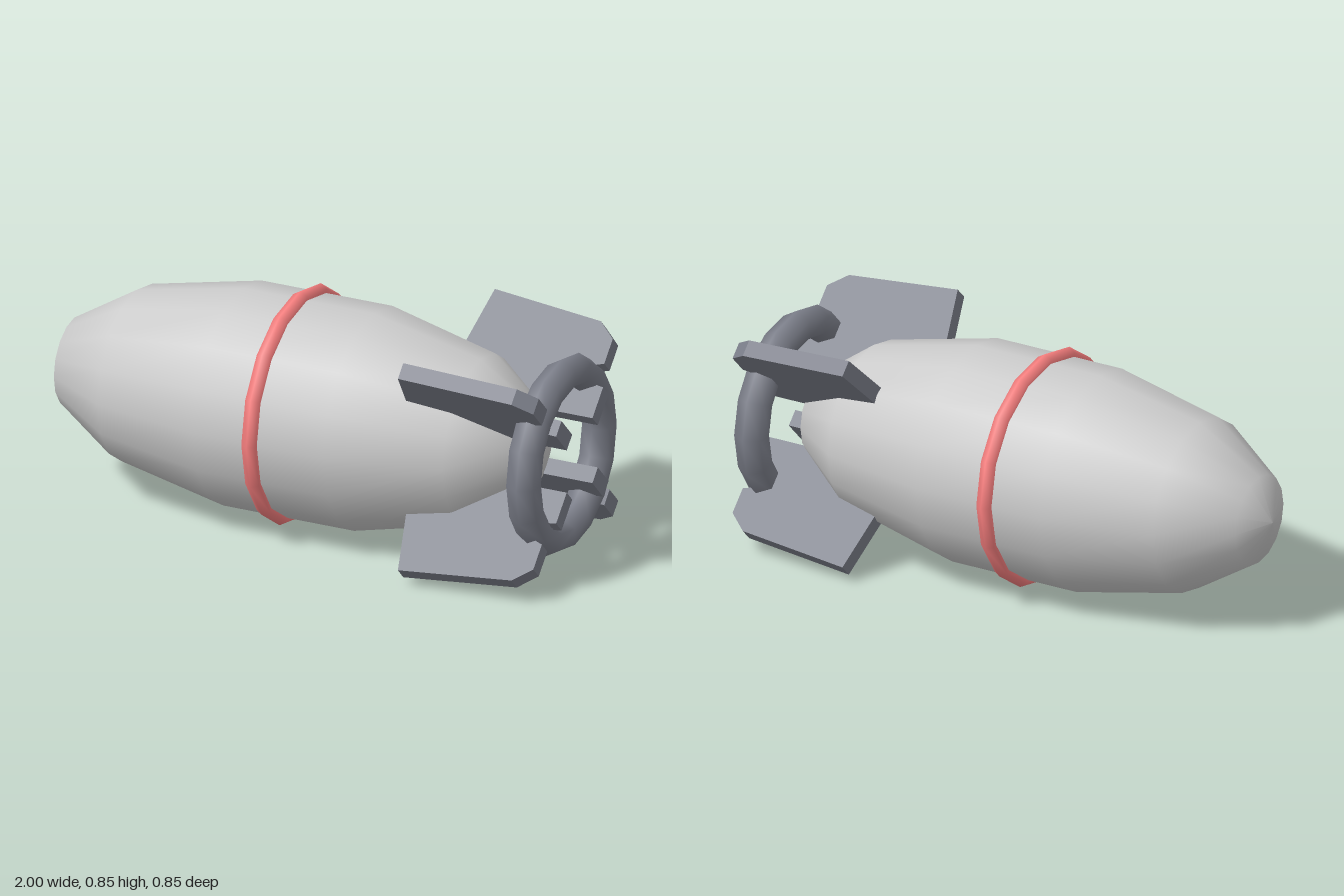
import * as THREE from 'three';

const AXIS_Y = 0.423;
const SIDES = 16;

const paint = (color) => new THREE.MeshStandardMaterial({ color });

function addMesh(parent, name, geometry, material) {
  const mesh = new THREE.Mesh(geometry, material);
  mesh.name = name;
  parent.add(mesh);
  return mesh;
}

// A hexagonal-section hoop around the x axis
function hoop(radius, tube, x) {
  return new THREE.TorusGeometry(radius, tube, 6, SIDES).rotateY(Math.PI / 2).translate(x, 0, 0);
}

export function createModel() {
  const group = new THREE.Group();
  const shell = new THREE.Group();
  shell.name = 'bomb';
  shell.position.y = AXIS_Y;
  group.add(shell);

  const grey = paint(0xcccccc);
  const darkGrey = paint(0x7c7f8a);
  const red = paint(0xfa8080);

  // Body: turned profile (radius, distance along x), nose at -x
  const profile = [
    [0, -1], [0.16, -0.945], [0.31, -0.705], [0.393, -0.3],
    [0.393, 0.2], [0.3, 0.61], [0.155, 0.81], [0, 0.85],
  ].map(([r, x]) => new THREE.Vector2(r, x));
  addMesh(shell, 'body', new THREE.LatheGeometry(profile, SIDES).rotateZ(-Math.PI / 2), grey);

  // Band round the middle and hoop joining the fins
  addMesh(shell, 'band', hoop(0.393, 0.03, -0.08), red);
  addMesh(shell, 'tailRing', hoop(0.297, 0.06, 0.92), darkGrey);

  // Fin outline (x, radius), notched where the tail ring sits
  const outline = [
    [0.44, 0.28], [0.8, 0.142], [1, 0.142], [1, 0.26], [0.93, 0.27], [0.93, 0.33],
    [0.975, 0.345], [0.975, 0.44], [0.91, 0.495], [0.49, 0.537],
  ].map(([x, r]) => new THREE.Vector2(x, r));
  const thickness = 0.06;
  const finGeometry = new THREE.ExtrudeGeometry(new THREE.Shape(outline), {
    depth: thickness, bevelEnabled: false,
  }).translate(0, 0, -thickness / 2);

  // Four fins on the diagonals
  for (let i = 0; i < 4; i++) {
    const fin = addMesh(shell, 'tailFin' + (i + 1), finGeometry, darkGrey);
    fin.rotation.x = Math.PI / 4 + (i * Math.PI) / 2;
  }

  return group;
}
